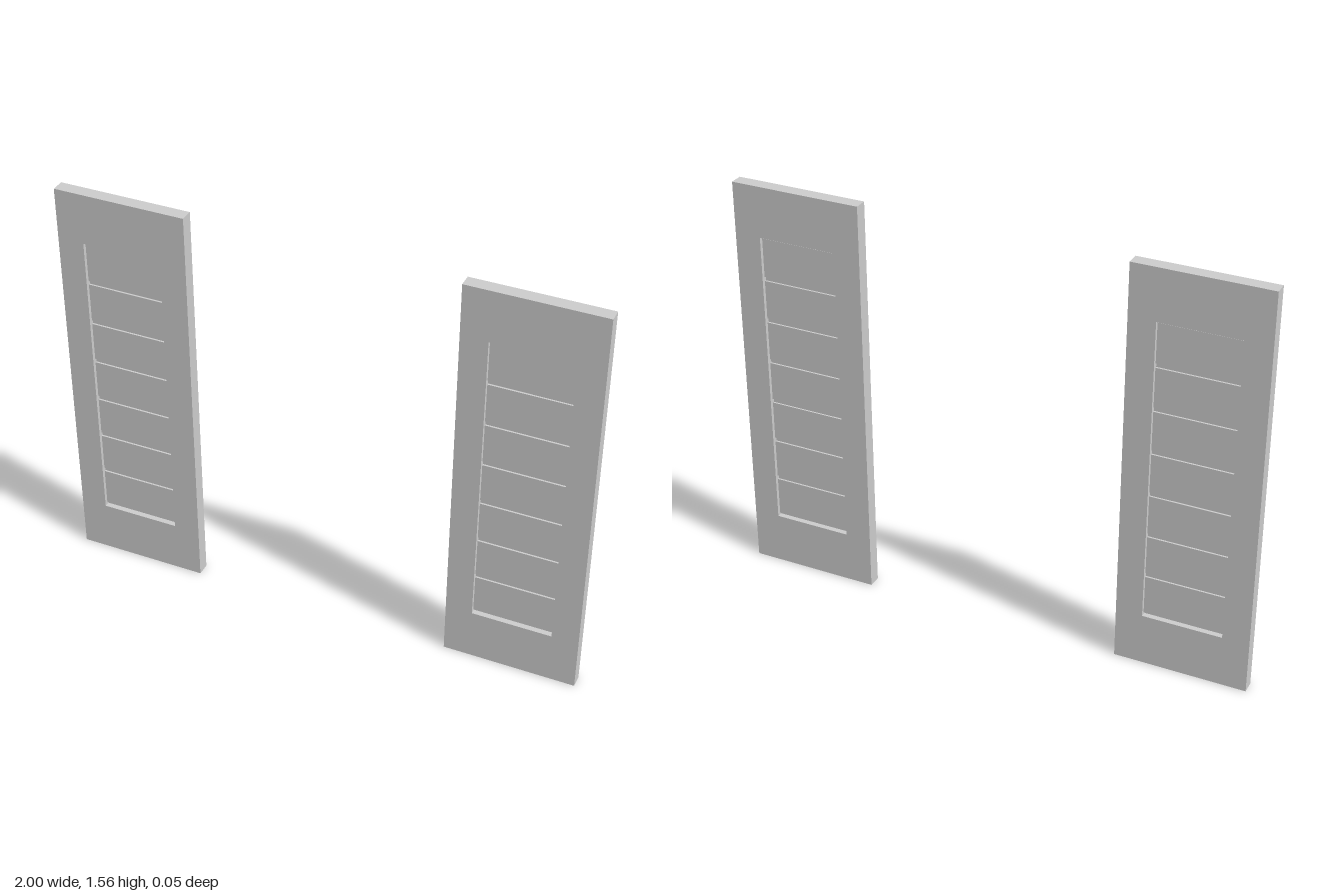
import * as THREE from 'three';

const HEIGHT = 1.56, WIDTH = 0.5, DEPTH = 0.05;
const OPEN = { x: 0.15, bottom: 0.2, top: 1.365 }; // opening in the frame
const SLATS = 7, GAP = 0.016;

const material = new THREE.MeshStandardMaterial({ color: 0xcccccc, flatShading: true });

function addBox(parent, name, w, h, d, y) {
  const mesh = new THREE.Mesh(new THREE.BoxGeometry(w, h, d), material);
  mesh.name = name;
  mesh.position.y = y;
  parent.add(mesh);
}

function rectangle(path, x, y0, y1) {
  path.moveTo(-x, y0);
  path.lineTo(x, y0);
  path.lineTo(x, y1);
  path.lineTo(-x, y1);
  path.closePath();
  return path;
}

function createShutter(name) {
  const shutter = new THREE.Group();
  shutter.name = name;

  // frame with a rectangular opening
  const shape = rectangle(new THREE.Shape(), WIDTH / 2, 0, HEIGHT);
  shape.holes.push(rectangle(new THREE.Path(), OPEN.x, OPEN.bottom, OPEN.top));
  const geometry = new THREE.ExtrudeGeometry(shape, { depth: DEPTH, bevelEnabled: false });
  geometry.translate(0, 0, -DEPTH / 2);
  const frame = new THREE.Mesh(geometry, material);
  frame.name = 'frame';
  shutter.add(frame);

  // thin panel closing the gaps between the slats
  const openHeight = OPEN.top - OPEN.bottom;
  addBox(shutter, 'backing', OPEN.x * 2, openHeight, 0.008, OPEN.bottom + openHeight / 2);

  // evenly spaced flat slats, recessed on both faces
  const pitch = openHeight / SLATS;
  for (let i = 0; i < SLATS; i++) {
    addBox(shutter, 'slat', OPEN.x * 2, pitch - GAP, 0.022, OPEN.bottom + (i + 0.5) * pitch);
  }
  return shutter;
}

export function createModel() {
  const model = new THREE.Group();
  model.name = 'windowShutters';
  for (const [name, side] of [['leftShutter', 1], ['rightShutter', -1]]) {
    const shutter = createShutter(name);
    shutter.position.x = side * 0.75;
    model.add(shutter);
  }
  return model;
}
